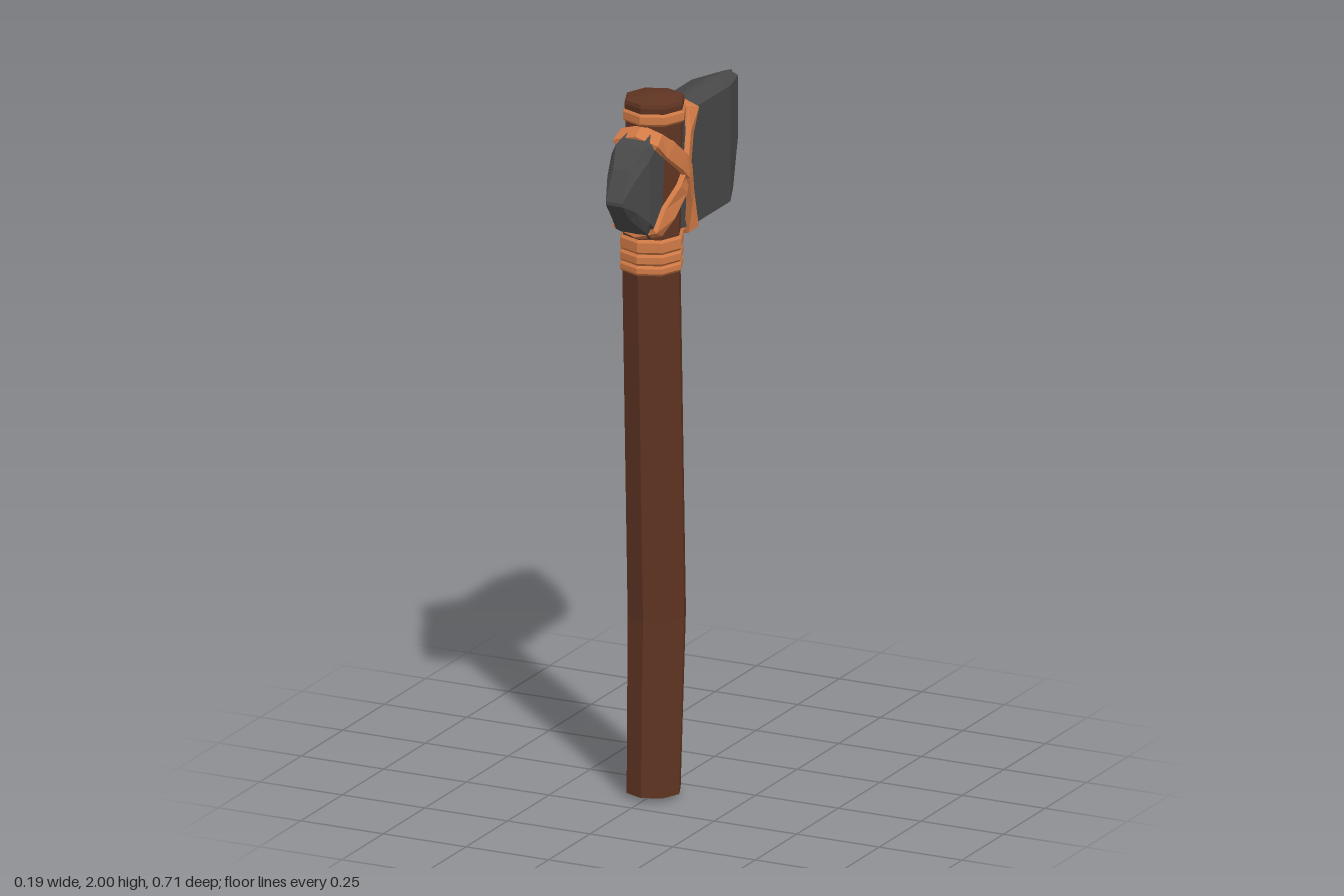
import * as THREE from 'three';

const V = (x, y, z) => new THREE.Vector3(x, y, z);
const mat = (color) => {
  const m = new THREE.MeshStandardMaterial({ flatShading: true });
  m.color.set(color);
  return m;
};

// Skin a list of equal-sized rings; ends are closed with fans unless looped
function loft(rings, loop = false) {
  const pos = [];
  const tri = (a, b, c) => {
    const area = b.clone().sub(a).cross(c.clone().sub(a)).length();
    if (area > 1e-9) for (const p of [a, b, c]) pos.push(p.x, p.y, p.z);
  };
  const n = rings[0].length, count = rings.length;
  for (let i = 0; i < (loop ? count : count - 1); i++) {
    const r = rings[i], s = rings[(i + 1) % count];
    for (let j = 0; j < n; j++) {
      const k = (j + 1) % n;
      tri(r[j], r[k], s[k]);
      tri(r[j], s[k], s[j]);
    }
  }
  if (!loop) {
    const mid = (r) => r.reduce((a, p) => a.add(p), V(0, 0, 0)).divideScalar(n);
    const first = rings[0], last = rings[count - 1];
    const c0 = mid(first), c1 = mid(last);
    for (let j = 0; j < n; j++) {
      const k = (j + 1) % n;
      tri(c0, first[k], first[j]);
      tri(c1, last[j], last[k]);
    }
  }
  const g = new THREE.BufferGeometry();
  g.setAttribute('position', new THREE.Float32BufferAttribute(pos, 3));
  g.computeVertexNormals();
  return g;
}

// Horizontal octagon with corners on the axes
const octagon = (y, z, r) => Array.from({ length: 8 }, (_, i) => {
  const a = (i * Math.PI) / 4;
  return V(r * Math.sin(a), y, z + r * Math.cos(a));
});

// Head cross-section: shoulders inset by s, lower points shifted by dz
function headRing([z, top, bot, w, a, s, dz = 0]) {
  const mid = 1.75;
  const half = [[w, mid, z], [w, top - s, z], [a, top, z]];
  const low = [[w, bot + s, z + dz], [a, bot, z + dz]];
  const flip = ([x, y, q]) => [-x, y, q];
  return [...half, flip(half[2]), flip(half[1]), flip(half[0]),
    flip(low[0]), flip(low[1]), low[1], low[0]].map((p) => V(...p));
}

// Closed leather strap; half path [x, y, z, outward x, y, z] is mirrored in x
function strap(half, width, thick) {
  const path = [...half, ...half.slice(1, -1).reverse()
    .map(([x, y, z, nx, ny, nz]) => [-x, y, z, -nx, ny, nz])];
  const pts = path.map((p) => V(p[0], p[1], p[2]));
  const n = pts.length;
  const rings = pts.map((p, i) => {
    const t = pts[(i + 1) % n].clone().sub(pts[(i + n - 1) % n]).normalize();
    const out = V(...path[i].slice(3)).normalize();
    const side = t.clone().cross(out).normalize();
    return [[1, 0.85], [-1, 1], [-1, -1], [1, -0.85]].map(([o, b]) =>
      p.clone().addScaledVector(out, o * thick / 2).addScaledVector(side, b * width / 2));
  });
  return loft(rings, true);
}

export function createModel() {
  const model = new THREE.Group();
  const wood = mat(0x5f3422), stone = mat(0x484848), leather = mat(0xd07a46);
  const add = (name, geometry, material, parent = model) => {
    const mesh = new THREE.Mesh(geometry, material);
    mesh.name = name;
    parent.add(mesh);
  };

  // Gently bent octagonal handle with slightly domed ends
  add('handle', loft([
    [0, 0.117, 0.004], [0.012, 0.117, 0.077], [0.51, 0.098, 0.083], [1.5, 0.13, 0.083],
    [1.62, 0.127, 0.082], [1.8, 0.117, 0.08], [1.94, 0.112, 0.082],
    [1.975, 0.112, 0.086], [1.985, 0.112, 0.083], [2, 0.112, 0.004],
  ].map((r) => octagon(...r))), wood);

  // Stone head, from the sharp rear edge to the blunt front poll
  add('axeHead', loft([
    [-0.355, 1.925, 1.605, 0, 0, 0.005, 0.035],
    [-0.332, 1.93, 1.6, 0.03, 0.005, 0.01, 0.03],
    [-0.23, 1.94, 1.58, 0.058, 0.008, 0.015],
    [0, 1.94, 1.58, 0.058, 0.008, 0.015],
    [0.19, 1.915, 1.605, 0.058, 0.03, 0.02],
    [0.255, 1.885, 1.645, 0.058, 0.045, 0.03],
    [0.31, 1.835, 1.695, 0.043, 0.025, 0.025],
    [0.355, 1.755, 1.745, 0.025, 0.025, 0],
  ].map(headRing)), stone);

  // Two straps crossing on each side of the handle
  const lashing = new THREE.Group();
  lashing.name = 'crossLashing';
  model.add(lashing);
  add('strapRearTop', strap([
    [0, 1.945, 0, 0, 1, 0], [0.06, 1.93, 0.005, 1, 1, 0],
    [0.068, 1.87, 0.035, 1, 0, -0.3], [0.082, 1.78, 0.08, 1, 0, -0.3],
    [0.085, 1.735, 0.115, 1, 0, 0], [0.072, 1.68, 0.17, 1, 0, 0.4],
    [0.06, 1.635, 0.21, 1, -1, 0.4], [0, 1.615, 0.208, 0, -1, 0.5],
  ], 0.055, 0.014), leather, lashing);
  add('strapFrontTop', strap([
    [0, 1.91, 0.205, 0, 1, 0.5], [0.06, 1.893, 0.205, 1, 1, 0.4],
    [0.073, 1.86, 0.165, 1, 0, 0.4], [0.087, 1.815, 0.115, 1, 0, 0],
    [0.085, 1.775, 0.075, 1, 0, -0.3], [0.07, 1.69, 0.035, 1, 0, -0.3],
    [0.06, 1.59, 0.005, 1, -1, 0], [0, 1.575, 0.003, 0, -1, 0],
  ], 0.055, 0.014), leather, lashing);

  // Wrapped bands around the handle, each with a bulged middle
  const bands = new THREE.Group();
  bands.name = 'handleBands';
  model.add(bands);
  const wrap = [[1.505, 1.533, 0.13], [1.533, 1.565, 0.129], [1.565, 1.606, 0.128], [1.925, 1.96, 0.112]];
  wrap.forEach(([y0, y1, z], i) => add('band' + (i + 1), loft([
    octagon(y0, z, 0.084), octagon(y0 + 0.007, z, 0.09),
    octagon(y1 - 0.007, z, 0.09), octagon(y1, z, 0.084),
  ]), leather, bands));

  return model;
}
